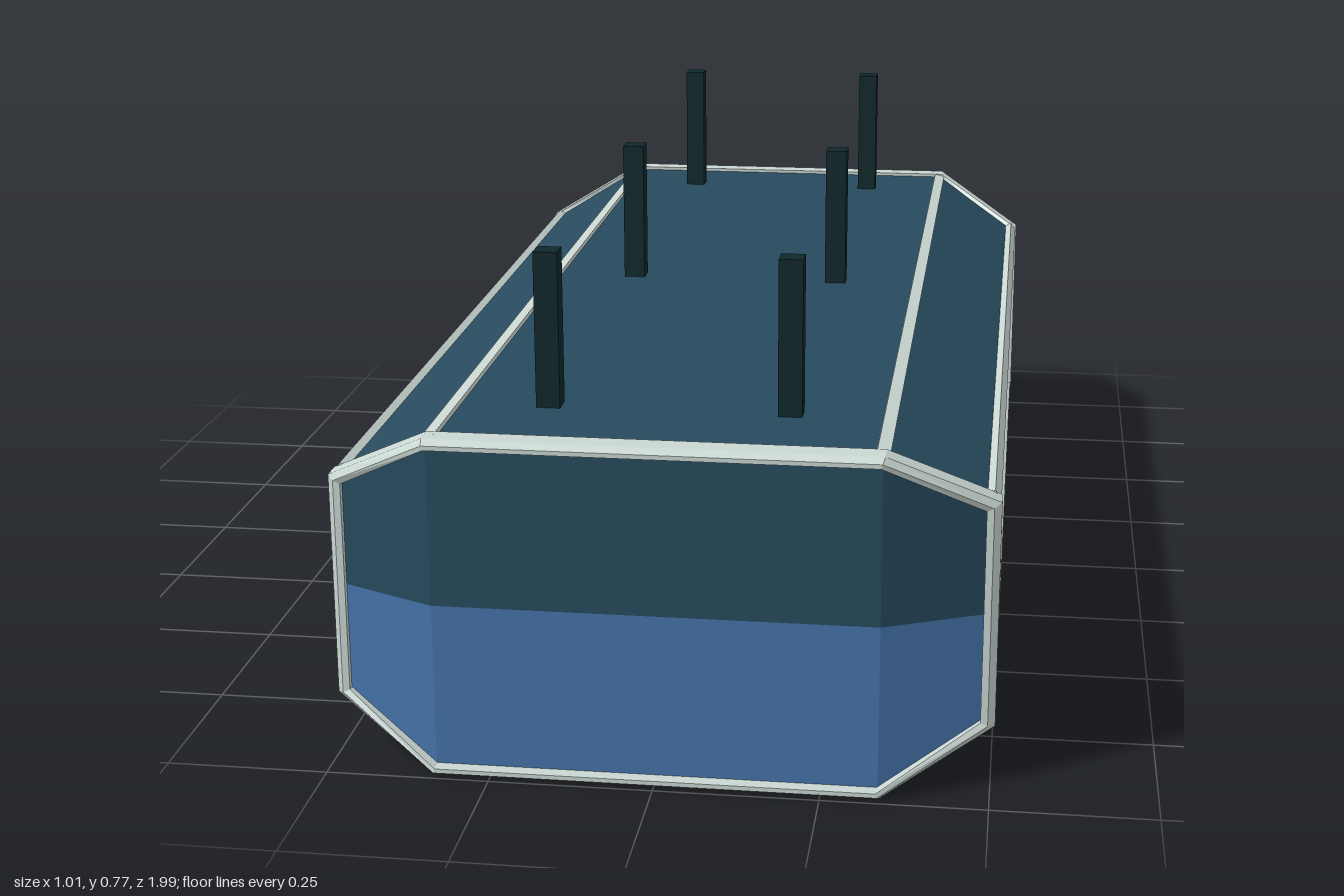
import * as THREE from 'three';

const mat = (name, color) => {
  const m = new THREE.MeshStandardMaterial({ color });
  m.name = name;
  return m;
};

// Flat-shaded skin over a list of cross-sections (each a loop of [x, y, z])
function skin(rings, closed) {
  const pos = [];
  const tri = (...pts) => pts.forEach((p) => pos.push(...p));
  const n = rings[0].length;
  const last = closed ? rings.length : rings.length - 1;
  for (let j = 0; j < last; j++) {
    const lo = rings[j], hi = rings[(j + 1) % rings.length];
    for (let i = 0; i < n; i++) {
      const k = (i + 1) % n;
      tri(lo[i], lo[k], hi[k]);
      tri(lo[i], hi[k], hi[i]);
    }
  }
  if (!closed) {
    const bottom = rings[0], top = rings[rings.length - 1];
    for (let i = 1; i < n - 1; i++) {
      tri(bottom[0], bottom[i + 1], bottom[i]);
      tri(top[0], top[i], top[i + 1]);
    }
  }
  const g = new THREE.BufferGeometry();
  g.setAttribute('position', new THREE.Float32BufferAttribute(pos, 3));
  g.computeVertexNormals();
  return g;
}

export function createModel() {
  const group = new THREE.Group();
  const upper = mat('dark teal', 0x274a5d);
  const lower = mat('blue', 0x4574aa);
  const trim = mat('pale grey', 0xc9d6d2);
  const dark = mat('near black', 0x0f282b);

  const add = (name, geo, material, x = 0, y = 0, z = 0) => {
    const m = new THREE.Mesh(geo, material);
    m.name = name;
    m.position.set(x, y, z);
    group.add(m);
    return m;
  };

  // Plan of the shell: octagon at mid height, rectangle at top and bottom
  const A = 0.335, END = 0.975;
  const plan = (y, wide) => {
    const b = wide ? 0.492 : A, zf = wide ? 0.902 : END, zb = wide ? -0.868 : -END;
    return [[A, y, END], [b, y, zf], [b, y, zb], [A, y, -END],
      [-A, y, -END], [-b, y, zb], [-b, y, zf], [-A, y, END]];
  };
  add('lowerShell', skin([plan(0.006, false), plan(0.092, true), plan(0.27, true)]), lower);
  add('upperShell', skin([plan(0.27, true), plan(0.443, true), plan(0.529, false)]), upper);

  // End frames: eight-sided bent rims with a chamfered outer edge
  const quarter = [[0.338, 0, 0.333, 0.014], [0.505, 0.09, 0.483, 0.1]];
  const corners = [...quarter,
    ...quarter.map(([x, y, u, v]) => [x, 0.535 - y, u, 0.535 - v]).reverse()];
  corners.push(...corners.map(([x, y, u, v]) => [-x, y, -u, v]).reverse());
  const rim = (s) => skin(corners.map(([x, y, u, v]) => {
    const atSide = Math.abs(x) > 0.4;
    const out = atSide ? (s > 0 ? 0.917 : 0.882) : 0.997;
    const inn = atSide ? (s > 0 ? 0.868 : 0.835) : 0.948;
    const mx = (x + u) / 2, my = (y + v) / 2;
    const section = [[mx, my, s * out], [x, y, s * (out - 0.014)], [x, y, s * inn],
      [u, v, s * inn], [u, v, s * out]];
    return s > 0 ? section : section.reverse();
  }), true);
  add('frontRim', rim(1), trim);
  add('backRim', rim(-1), trim);

  // Long edge bars
  for (const sx of [1, -1]) {
    for (const sy of [1, -1]) {
      const edge = add('roofEdgeBar', new THREE.BoxGeometry(0.02, 0.018, 1.93), trim,
        sx * 0.332, 0.2675 + sy * 0.2565, 0);
      if (sy < 0) edge.name = 'floorEdgeBar';
      edge.rotation.z = -sx * sy * 0.24;
      const side = add('sideEdgeBar', new THREE.BoxGeometry(0.018, 0.018, 1.72), trim,
        sx * 0.491, 0.2675 + sy * 0.175, 0.017);
      side.rotation.z = sx * sy * 0.55;
    }
  }

  // Upright posts on the roof
  for (const x of [0.183, -0.187]) {
    for (const z of [0.78, -0.022, -0.825]) {
      add('roofPost', new THREE.BoxGeometry(0.037, 0.25, 0.037), dark, x, 0.648, z);
    }
  }
  return group;
}
